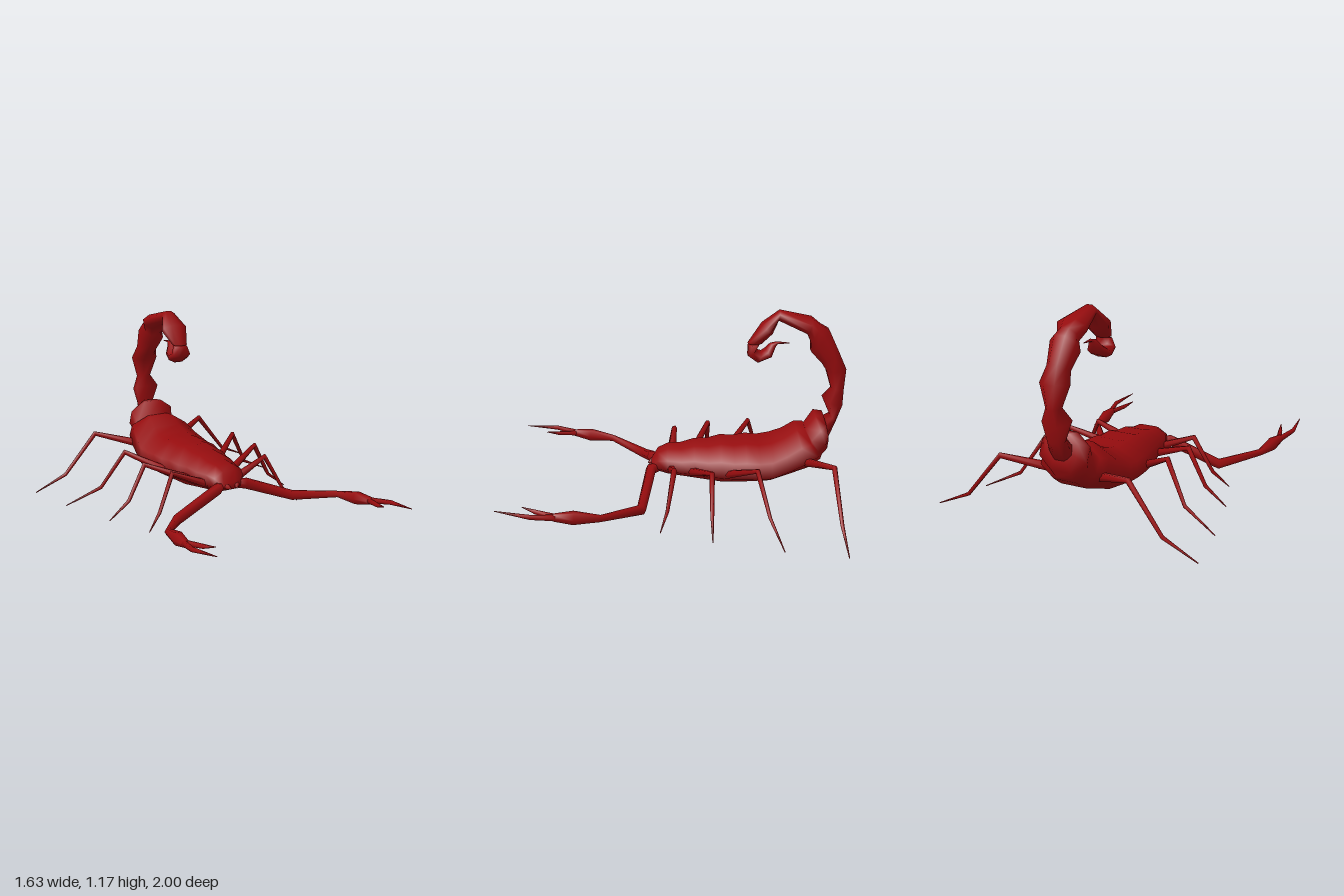
import * as THREE from 'three';

const material = new THREE.MeshStandardMaterial({ color: 0x960c0e });
const V = (x, y, z) => new THREE.Vector3(x, y, z);

// Skin a closed surface over a list of rings with equal point counts
function loft(name, rings) {
  const n = rings[0].length;
  const centre = ring => ring.reduce((s, p) => s.add(p), V(0, 0, 0)).divideScalar(n);
  const points = [...rings.flat(), centre(rings[0]), centre(rings.at(-1))];
  const start = rings.length * n, end = start + 1, last = start - n;
  const index = [];
  for (let j = 0; j < n; j++) {
    const k = (j + 1) % n;
    for (let i = 0; i < rings.length - 1; i++) {
      const a = i * n + j, b = i * n + k;
      index.push(a, a + n, b, b, a + n, b + n);
    }
    index.push(start, j, k, end, last + k, last + j);
  }
  const geometry = new THREE.BufferGeometry().setFromPoints(points);
  geometry.setIndex(index);
  geometry.computeVertexNormals();
  const mesh = new THREE.Mesh(geometry, material);
  mesh.name = name;
  return mesh;
}

// Octagonal section from its upper and lower edge in side profile
function section([zTop, yTop, zLow, yLow, halfWidth]) {
  const grow = 1 / Math.cos(Math.PI / 8);
  return Array.from({ length: 8 }, (_, j) => {
    const a = (j + 0.5) * Math.PI / 4;
    const s = Math.sin(a) * grow / 2;
    return V(Math.cos(a) * grow * halfWidth,
      (yTop + yLow) / 2 + (yTop - yLow) * s,
      (zTop + zLow) / 2 + (zTop - zLow) * s);
  });
}

// Tapered jointed limb through [x, y, z, radius] points
function limb(name, path, side, sides = 6) {
  const pts = path.map(([x, y, z]) => V(x * side, y, z));
  return loft(name, pts.map((p, i) => {
    const before = pts[Math.max(i - 1, 0)], after = pts[Math.min(i + 1, pts.length - 1)];
    const dirIn = p.clone().sub(before).normalize(), dirOut = after.clone().sub(p).normalize();
    const t = dirIn.add(dirOut).normalize();
    const right = t.clone().cross(V(0, 1, 0)).normalize();
    const up = right.clone().cross(t);
    return Array.from({ length: sides }, (_, j) => {
      const a = j / sides * Math.PI * 2, r = path[i][3];
      return p.clone().addScaledVector(right, Math.cos(a) * r).addScaledVector(up, Math.sin(a) * r);
    });
  }));
}

// Profiles: zTop, yTop, zLow, yLow, halfWidth
const trunk = [
  [0.15, 0.235, 0.15, 0.195, 0.06],
  [0.11, 0.30, 0.11, 0.18, 0.10],
  [0.05, 0.325, 0.05, 0.165, 0.125],
  [-0.11, 0.35, -0.11, 0.145, 0.16],
  [-0.27, 0.37, -0.27, 0.125, 0.195],
  [-0.42, 0.375, -0.42, 0.13, 0.222],
  [-0.57, 0.38, -0.57, 0.14, 0.233],
  [-0.72, 0.46, -0.79, 0.215, 0.195],
  [-0.77, 0.46, -0.87, 0.27, 0.175],
  [-0.775, 0.46, -0.88, 0.29, 0.13],
  [-0.83, 0.54, -0.91, 0.335, 0.15],
  [-0.88, 0.54, -0.92, 0.385, 0.10],
];
const tail = [
  [-0.86, 0.50, -0.92, 0.40, 0.07],
  [-0.92, 0.535, -0.96, 0.50, 0.055],
  [-0.874, 0.638, -0.99, 0.60, 0.08],
  [-0.92, 0.70, -0.995, 0.69, 0.042],
  [-0.885, 0.815, -1.0, 0.826, 0.08],
  [-0.855, 0.86, -0.955, 0.925, 0.06],
  [-0.79, 0.93, -0.89, 1.06, 0.08],
  [-0.785, 0.99, -0.84, 1.09, 0.06],
  [-0.76, 1.04, -0.79, 1.13, 0.088],
  [-0.595, 1.115, -0.6, 1.173, 0.042],
  [-0.56, 1.04, -0.5, 1.094, 0.08],
  [-0.5, 0.976, -0.42, 0.976, 0.042],
];
const sting = [
  [-0.49, 0.975, -0.42, 0.965, 0.042],
  [-0.465, 0.935, -0.42, 0.906, 0.06],
  [-0.50, 0.925, -0.48, 0.863, 0.065],
  [-0.525, 0.945, -0.56, 0.895, 0.05],
  [-0.55, 0.975, -0.585, 0.96, 0.022],
  [-0.59, 0.985, -0.595, 0.97, 0.012],
  [-0.665, 0.978, -0.665, 0.974, 0.002],
];

// Shallow grooves between the back plates
function grooved(profile) {
  return profile.flatMap((p, i) => {
    if (i < 2 || i > 6) return [p];
    const mid = p.map((v, k) => (v + profile[i + 1][k]) / 2);
    mid[1] -= 0.01;
    return [p, mid];
  });
}

// Walking legs, front to back: root, knee, ankle, foot
const legs = [
  [[0.07, 0.20, 0.03], [0.33, 0.31, 0.01], [0.44, 0.10, 0.05], [0.53, 0.01, 0.09]],
  [[0.10, 0.20, -0.08], [0.40, 0.32, -0.205], [0.51, 0.11, -0.205], [0.64, 0.01, -0.205]],
  [[0.15, 0.20, -0.29], [0.40, 0.335, -0.465], [0.54, 0.11, -0.53], [0.75, 0.01, -0.595]],
  [[0.13, 0.28, -0.75], [0.40, 0.355, -0.90], [0.61, 0.10, -0.925], [0.815, 0.01, -0.935]],
];
const legRadius = [0.028, 0.017, 0.011, 0.003];

export function createModel() {
  const model = new THREE.Group();
  model.name = 'scorpion';
  model.add(loft('body', grooved(trunk).map(section)));
  model.add(loft('tail', tail.map(section)));
  model.add(loft('sting', sting.map(section)));

  for (const [side, label] of [[1, 'left'], [-1, 'right']]) {
    legs.forEach((leg, i) => model.add(
      limb(`${label}Leg${i + 1}`, leg.map((p, k) => [...p, legRadius[k]]), side)));

    // Pincer arm with two fingers
    const arm = new THREE.Group();
    arm.name = `${label}PincerArm`;
    arm.add(
      limb('arm', [
        [0.04, 0.21, 0.09, 0.025], [0.10, 0.215, 0.15, 0.034], [0.41, 0.098, 0.20, 0.031],
        [0.59, 0.135, 0.42, 0.02], [0.612, 0.15, 0.57, 0.04], [0.627, 0.16, 0.68, 0.022],
      ], side),
      limb('outerFinger', [
        [0.632, 0.16, 0.67, 0.018], [0.665, 0.18, 0.80, 0.014], [0.64, 0.205, 1.0, 0.002]], side),
      limb('innerFinger', [
        [0.618, 0.16, 0.67, 0.016], [0.585, 0.172, 0.78, 0.013], [0.56, 0.19, 0.86, 0.002]], side));
    model.add(arm);

    // Small mouth claw
    model.add(limb(`${label}MouthClaw`, [
      [0.03, 0.22, 0.10, 0.025], [0.035, 0.215, 0.145, 0.02], [0.02, 0.205, 0.17, 0.004]], side));
  }
  return model;
}
